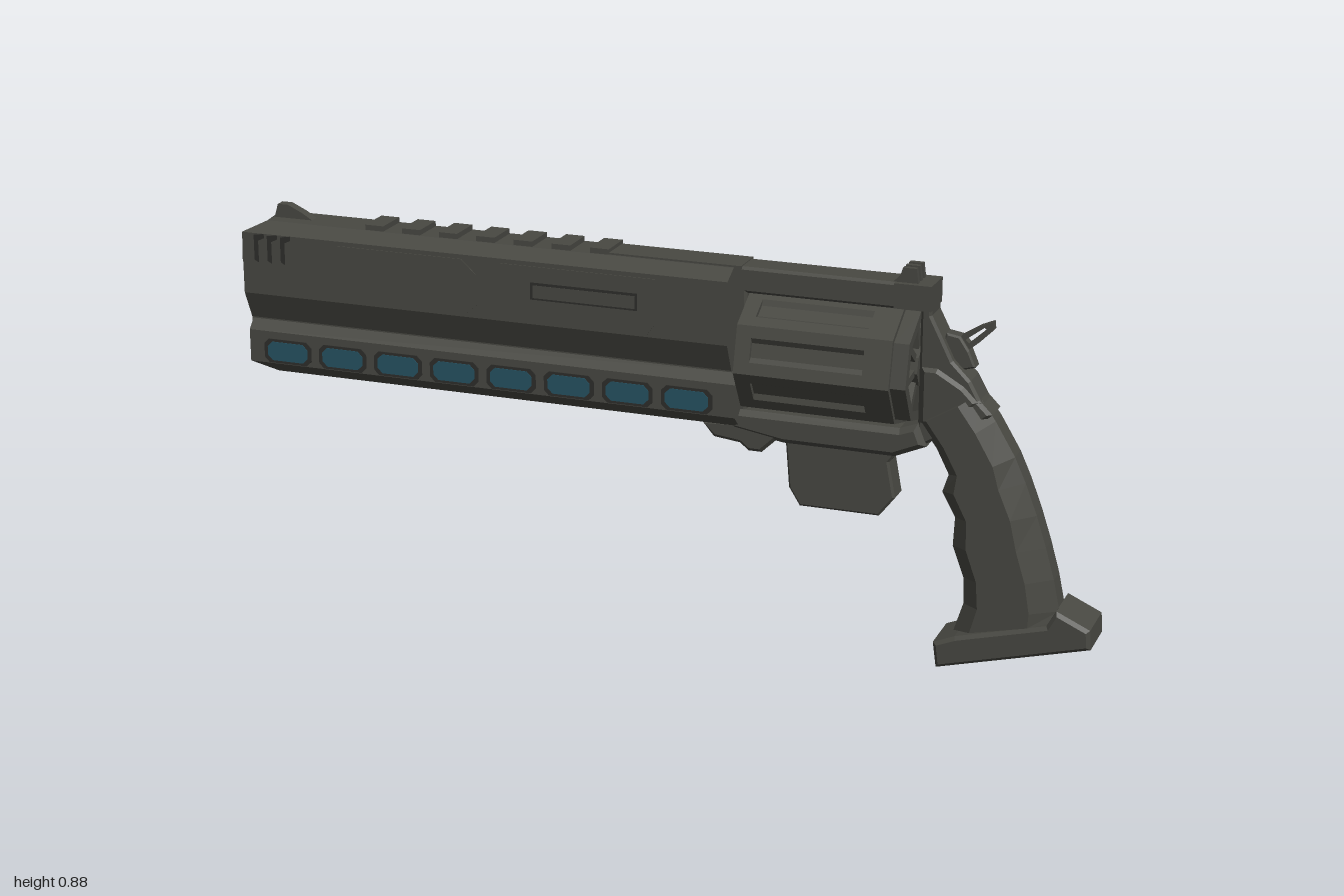
import * as THREE from 'three';

const body = new THREE.MeshStandardMaterial({ color: 0x484842 });
body.name = 'gunmetal';
const dark = new THREE.MeshStandardMaterial({ color: 0x2e2e2b });
dark.name = 'dark recess';
const teal = new THREE.MeshStandardMaterial({ color: 0x265262 });
teal.name = 'teal window';

const toShape = (pts) => new THREE.Shape(pts.map(([a, b]) => new THREE.Vector2(a, b)));

export function createModel() {
  const root = new THREE.Group();
  root.name = 'revolver';

  const add = (name, geo, mat = body) => {
    const m = new THREE.Mesh(geo, mat);
    m.name = name;
    root.add(m);
    return m;
  };
  const box = (name, x0, x1, y0, y1, z0, z1, mat = body) => {
    const g = new THREE.BoxGeometry(x1 - x0, y1 - y0, z1 - z0);
    return add(name, g.translate((x0 + x1) / 2, (y0 + y1) / 2, (z0 + z1) / 2), mat);
  };
  // side profile (x, y) given thickness across z, with chamfered edges
  const slab = (pts, halfZ, bevel = 0, hole = null, z = 0) => {
    const s = toShape(pts);
    if (hole) s.holes.push(toShape(hole));
    return new THREE.ExtrudeGeometry(s, {
      depth: 2 * (halfZ - bevel), bevelEnabled: bevel > 0, bevelThickness: bevel,
      bevelSize: bevel, bevelOffset: -bevel, bevelSegments: 1, curveSegments: 8,
    }).translate(0, 0, z - halfZ + bevel);
  };
  // cross-section (-z, y) swept along x
  const sweep = (pts, x0, x1, hole = null) => {
    const s = toShape(pts);
    if (hole) s.holes.push(toShape(hole));
    return new THREE.ExtrudeGeometry(s, { depth: x1 - x0, bevelEnabled: false })
      .rotateY(Math.PI / 2).translate(x0, 0, 0);
  };
  const mirrored = (half) => [...half, ...half.map(([z, y]) => [-z, y]).reverse()];
  // pull the front corners of a sweep back
  const cutFront = (geo, x0, test, dx) => {
    const p = geo.attributes.position;
    for (let i = 0; i < p.count; i++) if (p.getX(i) < x0 + 0.001 && test(p.getY(i))) p.setX(i, x0 + dx);
    geo.computeVertexNormals();
    return geo;
  };
  const ngon = (n, r, a0 = 0, cy = 0) => Array.from({ length: n }, (_, k) => {
    const a = a0 + (k / n) * Math.PI * 2;
    return [-r * Math.cos(a), cy + r * Math.sin(a)];
  });

  // barrel shroud and lower rail
  add('barrelShroud', cutFront(sweep(mirrored([
    [0.055, 0.6], [0.055, 0.625], [0.085, 0.69], [0.085, 0.832], [0.045, 0.853],
  ]), -0.975, 0.185), -0.975, (y) => y > 0.85, 0.045));
  add('lowerRail', cutFront(sweep(mirrored([
    [0.045, 0.498], [0.075, 0.525], [0.075, 0.6], [0.055, 0.622],
  ]), -0.972, 0.2), -0.972, (y) => y < 0.51, 0.055));
  add('muzzle', sweep(ngon(20, 0.043, 0, 0.763), -1, -0.97, ngon(20, 0.028, 0, 0.763)));
  add('bore', sweep(ngon(20, 0.029, 0, 0.763), -0.98, -0.976), dark);

  // top rib, ridges and sights
  box('topRib', -0.12, 0.2, 0.84, 0.857, -0.04, 0.04);
  for (let i = 0; i < 7; i++) {
    const x = -0.665 + i * 0.09;
    box('topRidge', x - 0.022, x + 0.022, 0.845, 0.865, -0.042, 0.042);
  }
  add('frontSight', slab([[-0.93, 0.85], [-0.83, 0.85], [-0.86, 0.868], [-0.895, 0.884], [-0.92, 0.884]], 0.012));
  for (const z of [-0.024, 0, 0.024]) {
    add('rearSight', slab([[0.53, 0.85], [0.59, 0.85], [0.585, 0.887], [0.555, 0.887], [0.55, 0.87]], 0.006, 0, null, z));
  }

  // details repeated on both sides
  for (const s of [1, -1]) {
    const plate = (name, pts, z, t, mat = body) => add(name, slab(pts, t / 2, 0, null, s * (z + t / 2)), mat);
    const rect = (x0, x1, y0, y1) => [[x0, y0], [x1, y0], [x1, y1], [x0, y1]];
    plate('frontPanel', [[-0.74, 0.692], [-0.43, 0.692], [-0.4, 0.72], [-0.4, 0.79], [-0.435, 0.822], [-0.74, 0.822]], 0.084, 0.003);
    plate('rearPanel', [[-0.29, 0.692], [0, 0.692], [0.02, 0.72], [0.02, 0.822], [-0.34, 0.822], [-0.34, 0.74]], 0.084, 0.003);
    plate('panelSlot', rect(-0.27, -0.02, 0.747, 0.786), 0.0865, 0.001, dark);
    plate('panelSlotFloor', rect(-0.264, -0.026, 0.751, 0.78), 0.087, 0.001);
    // lower continuation of the panels on the undercut
    for (const [a, b, c, d] of [[-0.74, -0.43, -0.4, -0.74], [-0.29, -0.01, 0.03, -0.33]]) {
      const p = [[b, 0.69, 0.087], [a, 0.69, 0.087], [d, 0.635, 0.062], [c, 0.635, 0.062]];
      const g = new THREE.BufferGeometry();
      const order = s > 0 ? [0, 1, 2, 0, 2, 3] : [0, 2, 1, 0, 3, 2];
      g.setAttribute('position', new THREE.Float32BufferAttribute(
        order.flatMap((i) => [p[i][0], p[i][1], s * p[i][2]]), 3));
      g.computeVertexNormals();
      add('undercutPanel', g);
    }
    // muzzle vents
    for (let i = 0; i < 3; i++) {
      const x = -0.945 + i * 0.033;
      plate('vent', [[x, 0.77], [x + 0.01, 0.765], [x + 0.01, 0.815], [x + 0.025, 0.822], [x + 0.025, 0.832], [x, 0.828]], 0.0845, 0.002, dark);
    }
    // rail windows
    for (let i = 0; i < 8; i++) {
      const x = -0.876 + i * 0.138;
      const pill = (w, h, c) => [
        [x - w + c, 0.555 - h], [x + w - c, 0.555 - h], [x + w, 0.555 - h + c], [x + w, 0.555 + h - c],
        [x + w - c, 0.555 + h], [x - w + c, 0.555 + h], [x - w, 0.555 + h - c], [x - w, 0.555 - h + c]];
      plate('windowFrame', pill(0.059, 0.028, 0.012), 0.074, 0.003, dark);
      plate('railWindow', pill(0.05, 0.022, 0.012), 0.0765, 0.002, teal);
    }
  }

  // frame around the open cylinder window
  add('frame', slab([
    [0.17, 0.5], [0.3, 0.478], [0.55, 0.478], [0.61, 0.5], [0.66, 0.53], [0.735, 0.61], [0.71, 0.655],
    [0.67, 0.695], [0.645, 0.745], [0.622, 0.79], [0.622, 0.855], [0.17, 0.855],
  ], 0.037, 0.006, [[0.212, 0.535], [0.598, 0.535], [0.598, 0.797], [0.212, 0.797]]));
  box('rearSightBlock', 0.54, 0.622, 0.8, 0.855, -0.043, 0.043);
  add('lowerFrame', slab([
    [0.18, 0.49], [0.3, 0.47], [0.55, 0.47], [0.62, 0.5], [0.6, 0.55], [0.56, 0.535], [0.19, 0.535],
  ], 0.05, 0.012));
  add('craneLatch', slab([
    [0.11, 0.5], [0.14, 0.465], [0.2, 0.458], [0.22, 0.442], [0.25, 0.442], [0.29, 0.48], [0.29, 0.51],
  ], 0.045, 0.008));
  add('recoilShield', slab([[0.6, 0.55], [0.66, 0.53], [0.735, 0.61], [0.7, 0.645], [0.64, 0.68], [0.6, 0.68]], 0.045, 0.012));

  // fluted eight-sided cylinder
  const cy = 0.667, a0 = -0.14, R = 0.137;
  const oct = ngon(8, R, a0, cy);
  const fluted = oct.flatMap(([x, y], k) => {
    const [u, v] = oct[(k + 1) % 8];
    return [[0, 1], [0.25, 1], [0.34, 0.93], [0.66, 0.93], [0.75, 1]].map(([t, f]) => [
      (x + (u - x) * t) * f, cy + (y + (v - y) * t - cy) * f]);
  });
  add('cylinderFront', sweep(oct, 0.216, 0.25));
  add('cylinderBody', sweep(fluted, 0.25, 0.5));
  add('cylinderBand', sweep(oct, 0.5, 0.56));
  add('cylinderRearRim', sweep(ngon(8, 0.126, a0, cy), 0.56, 0.594, ngon(8, 0.104, a0, cy)));
  add('cylinderHub', sweep(ngon(8, 0.045, a0, cy), 0.56, 0.596));
  for (let k = 0; k < 8; k++) {
    const g = new THREE.BoxGeometry(0.03, 0.016, 0.07).translate(0.575, 0, 0.075);
    add('cylinderSpoke', g.rotateX(-a0 - (k * Math.PI) / 4).translate(0, cy, 0));
  }

  // hammer with a looped spur
  add('hammer', slab([[0.63, 0.7], [0.68, 0.67], [0.715, 0.68], [0.7, 0.715], [0.68, 0.745], [0.65, 0.75]], 0.018, 0.004));
  add('hammerSpur', slab([[0.665, 0.735], [0.69, 0.71], [0.72, 0.735], [0.75, 0.765], [0.748, 0.782], [0.72, 0.77]],
    0.01, 0, [[0.69, 0.738], [0.698, 0.73], [0.735, 0.764], [0.73, 0.768]]));

  // trigger guard and trigger
  add('triggerGuard', slab([
    [0.3, 0.485], [0.31, 0.365], [0.335, 0.325], [0.515, 0.325], [0.55, 0.37], [0.535, 0.45], [0.56, 0.485],
  ], 0.03, 0.005, [[0.335, 0.478], [0.337, 0.375], [0.35, 0.348], [0.505, 0.348], [0.524, 0.375], [0.508, 0.45], [0.515, 0.478]]));
  add('trigger', slab([
    [0.425, 0.49], [0.43, 0.43], [0.42, 0.4], [0.395, 0.378], [0.405, 0.366], [0.44, 0.385], [0.46, 0.42], [0.475, 0.49],
  ], 0.014, 0.003));

  // grip lofted between front and back points: [frontX, frontY, backX, backY]
  const levels = [
    [0.6, 0.55, 0.725, 0.625], [0.64, 0.495, 0.765, 0.57], [0.668, 0.44, 0.81, 0.495], [0.655, 0.4, 0.835, 0.44],
    [0.685, 0.345, 0.862, 0.37], [0.682, 0.28, 0.885, 0.3], [0.708, 0.21, 0.905, 0.23], [0.71, 0.15, 0.92, 0.16],
    [0.69, 0.085, 0.925, 0.14],
  ];
  const ring = mirrored([[0.028, 0], [0.058, 0.18], [0.058, 0.72], [0.024, 1]]);
  const n = ring.length, pos = [], idx = [];
  levels.forEach(([fx, fy, bx, by], j) => {
    for (const [z, t] of ring) pos.push(fx + (bx - fx) * t, fy + (by - fy) * t, z);
    for (let k = 0; j && k < n; k++) {
      const a = (j - 1) * n + k, b = (j - 1) * n + ((k + 1) % n);
      idx.push(a, a + n, b, b, a + n, b + n);
    }
  });
  for (let k = 1; k < n - 1; k++) idx.push(0, k, k + 1);
  const loft = new THREE.BufferGeometry();
  loft.setAttribute('position', new THREE.Float32BufferAttribute(pos, 3));
  loft.setIndex(idx);
  // wind the faces outward
  const vol = (() => {
    let v = 0;
    const p = [0, 1, 2].map(() => new THREE.Vector3());
    for (let i = 0; i < idx.length - 3 * (n - 2); i += 3) {
      p.forEach((q, c) => q.fromArray(pos, idx[i + c] * 3).sub(new THREE.Vector3(0.76, 0.33, 0)));
      v += p[0].dot(p[1].clone().cross(p[2]));
    }
    return v;
  })();
  if (vol < 0) for (let i = 0; i < idx.length; i += 3) [idx[i + 1], idx[i + 2]] = [idx[i + 2], idx[i + 1]];
  loft.setIndex(idx);
  const grip = loft.toNonIndexed();
  grip.computeVertexNormals();
  add('grip', grip);
  add('gripBackstrap', slab([[0.7, 0.64], [0.735, 0.61], [0.76, 0.585], [0.73, 0.56], [0.66, 0.54]], 0.04, 0.008));

  // flared butt plate
  add('buttPlate', slab([
    [0.652, 0.062], [0.66, 0.004], [0.998, 0.094], [0.995, 0.138], [0.92, 0.172], [0.9, 0.135], [0.7, 0.082],
  ], 0.063, 0.008));
  return root;
}
